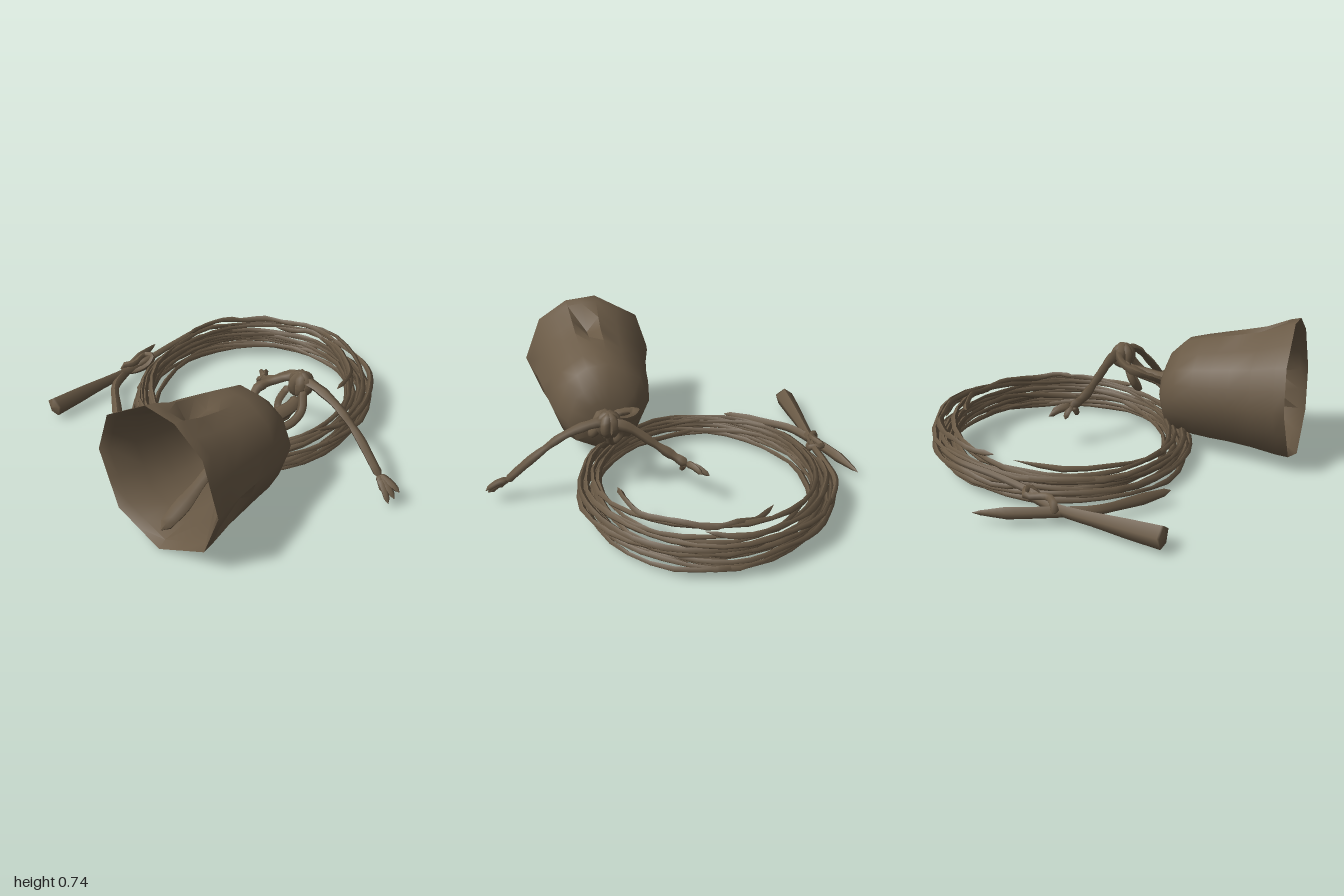
import * as THREE from 'three';
import { toCreasedNormals } from 'three/addons/utils/BufferGeometryUtils.js';

const brown = new THREE.MeshStandardMaterial({ color: 0x6a5a46, side: THREE.DoubleSide });
brown.name = 'weathered brown';

// Small seeded generator, returns -1..1
let seed = 11;
function rnd() {
  seed = (seed * 16807) % 2147483647;
  return (seed / 2147483647) * 2 - 1;
}

// Tube through points whose radius follows a list, with optional lumps
function cord(name, pts, radii, { sides = 6, steps = 18, rough = 0, closed = false } = {}) {
  const curve = new THREE.CatmullRomCurve3(pts.map(p => new THREE.Vector3(...p)), closed, 'centripetal');
  const geo = new THREE.TubeGeometry(curve, steps, 1, sides, closed);
  const pos = geo.attributes.position, v = new THREE.Vector3();
  for (let i = 0; i <= steps; i++) {
    const c = curve.getPointAt(i / steps);
    const f = (i / steps) * (radii.length - 1), k = Math.min(Math.floor(f), radii.length - 2);
    const end = !closed && (i === 0 || i === steps);
    const r = end ? 0.0005 : THREE.MathUtils.lerp(radii[k], radii[k + 1], f - k) * (1 + rough * rnd());
    for (let j = 0; j <= sides; j++) {
      const n = i * (sides + 1) + j;
      v.fromBufferAttribute(pos, n).sub(c).multiplyScalar(r).add(c);
      pos.setXYZ(n, v.x, v.y, v.z);
    }
  }
  geo.computeVertexNormals();
  const mesh = new THREE.Mesh(geo, brown);
  mesh.name = name;
  return mesh;
}

// Bell sections from crown to mouth: z, centre x, centre y, radius
const SECTIONS = [
  [0.175, 0.31, 0.29, 0.0], [0.185, 0.30, 0.29, 0.13], [0.22, 0.30, 0.30, 0.205], [0.30, 0.29, 0.325, 0.262],
  [0.40, 0.29, 0.33, 0.285], [0.50, 0.285, 0.34, 0.3], [0.60, 0.285, 0.35, 0.313], [0.72, 0.28, 0.36, 0.332],
  [0.85, 0.275, 0.377, 0.366], [0.91, 0.275, 0.382, 0.375]];
const CORNERS = [0, 42, 72, 99, 145, 180, 228, 273, 323];
// Dents: section, ring point, depth
const DENTS = [[6, 5, 0.035], [7, 5, 0.085], [7, 17, 0.08]];

// One skin of the bell, thinned inward by thickness everywhere but the lip
function bellSkin(name, thickness) {
  const ring = [];
  const onCircle = d => new THREE.Vector2(Math.cos(d * Math.PI / 180), Math.sin(d * Math.PI / 180));
  CORNERS.forEach((a, i) => {
    const c = onCircle(a), next = onCircle(CORNERS[(i + 1) % CORNERS.length]);
    ring.push(c, c.clone().add(next).multiplyScalar(0.5));
  });
  const n = ring.length, verts = [], index = [];
  const tri = (a, b, c) => (thickness ? index.push(a, c, b) : index.push(a, b, c));
  SECTIONS.forEach(([z, cx, cy, r], s) => {
    const inset = s === SECTIONS.length - 1 ? 0 : thickness;
    ring.forEach((p, j) => {
      const dent = DENTS.find(d => d[0] === s && d[1] === j);
      const rr = Math.max(0, r - inset - (dent ? dent[2] : 0));
      const y = cy + p.y * rr;
      const slant = Math.max(0, (z - 0.6) / 0.31) * (0.37 - y) * 0.065;
      verts.push(cx + p.x * rr, y, z + slant + inset);
      if (s === 0) return;
      const a = (s - 1) * n + j, b = (s - 1) * n + (j + 1) % n;
      if (s > 1) tri(a, b, a + n);
      tri(b, b + n, a + n);
    });
  });
  const geo = new THREE.BufferGeometry();
  geo.setAttribute('position', new THREE.Float32BufferAttribute(verts, 3));
  geo.setIndex(index);
  const mesh = new THREE.Mesh(toCreasedNormals(geo, 0.87), brown);
  mesh.name = name;
  return mesh;
}

// Frayed strands spreading from a cord end
function fray(group, name, base, tips) {
  tips.forEach(t => {
    const mid = base.map((b, i) => (b + t[i]) / 2 + (i === 1 ? 0.012 : 0));
    group.add(cord(name, [base, mid, t], [0.02, 0.018, 0.013], { sides: 5, steps: 6 }));
  });
}

export function createModel() {
  seed = 11;
  const model = new THREE.Group();
  model.name = 'bellWithRope';

  // Bell lying on its side
  const bell = new THREE.Group();
  bell.name = 'bell';
  bell.add(bellSkin('bellOutside', 0), bellSkin('bellInside', 0.022));
  bell.add(cord('clapper', [[0.29, 0.34, 0.24], [0.285, 0.27, 0.5], [0.275, 0.15, 0.72], [0.26, 0.09, 0.82], [0.255, 0.06, 0.88]],
    [0.05, 0.042, 0.03, 0.03, 0.046, 0.03], { sides: 6 }));
  model.add(bell);

  // Lashing and knot behind the crown
  const knot = new THREE.Group();
  knot.name = 'knot';
  knot.add(cord('neck', [[0.31, 0.31, 0.22], [0.32, 0.33, 0.12], [0.34, 0.345, 0], [0.33, 0.36, -0.06]], [0.08, 0.04, 0.036, 0.03], { sides: 7 }));
  knot.add(cord('sideLoop', [[0.29, 0.31, 0.19], [0.2, 0.37, 0.14], [0.16, 0.405, 0.06], [0.19, 0.42, -0.02], [0.27, 0.45, -0.09], [0.34, 0.47, -0.1]],
    [0.025, 0.018, 0.026, 0.018, 0.026], { sides: 5, rough: 0.15 }));
  knot.add(cord('otherLoop', [[0.31, 0.30, 0.19], [0.39, 0.3, 0.1], [0.4, 0.34, 0.0], [0.36, 0.43, -0.06]], [0.025, 0.022, 0.024]));
  knot.add(cord('hangingLoop', [[0.28, 0.42, -0.05], [0.25, 0.32, 0.0], [0.3, 0.26, 0.02], [0.33, 0.36, -0.05]], [0.02, 0.022, 0.02]));
  for (let i = 0; i < 3; i++) {
    const a = i * 1.05, ring = [];
    for (let k = 0; k < 8; k++) {
      const t = k * Math.PI / 4, c = Math.cos(t) * 0.045, s = Math.sin(t) * 0.05;
      ring.push([0.33 + c * Math.cos(a), 0.435 + s, -0.085 + c * Math.sin(a)]);
    }
    knot.add(cord('knotWrap', ring, [0.026, 0.028, 0.026], { steps: 20, closed: true }));
  }
  model.add(knot);

  // Two loose cord arms with frayed ends
  const arms = new THREE.Group();
  arms.name = 'looseCords';
  arms.add(cord('leftCord', [[0.32, 0.46, -0.09], [0.42, 0.45, -0.09], [0.56, 0.4, -0.08], [0.7, 0.3, -0.065], [0.82, 0.19, -0.04], [0.88, 0.13, -0.03]],
    [0.03, 0.028, 0.022, 0.02, 0.026, 0.024], { sides: 5, rough: 0.15 }));
  fray(arms, 'leftFray', [0.86, 0.15, -0.03], [[0.985, 0.1, -0.035], [0.975, 0.07, -0.01], [0.96, 0.05, 0.02], [0.91, 0.085, 0.0]]);
  arms.add(cord('rightCord', [[0.35, 0.46, -0.1], [0.24, 0.43, -0.13], [0.13, 0.35, -0.165], [0.02, 0.27, -0.205], [-0.05, 0.23, -0.255]],
    [0.03, 0.028, 0.022, 0.025, 0.026], { sides: 5, rough: 0.15 }));
  fray(arms, 'rightFray', [-0.04, 0.235, -0.245], [[-0.14, 0.2, -0.34], [-0.1, 0.215, -0.34], [-0.1, 0.18, -0.26], [-0.02, 0.18, -0.22]]);
  model.add(arms);

  // Coil of rope, one long tangled spiral rising towards the back
  const TURNS = 13, PER = 15, path = [];
  for (let i = 0; i <= TURNS * PER; i++) {
    const turn = i / PER, a = Math.PI + turn * Math.PI * 2;
    const r = 0.602 + 0.045 * Math.sin(turn * 2.4) + 0.014 * Math.sin(turn * 9.1) + 0.016 * rnd();
    const back = 0.5 - 0.5 * Math.sin(a);
    const y = 0.045 + (turn / TURNS) * (0.105 + 0.085 * back) + 0.016 * Math.sin(turn * 7.3) + 0.014 * rnd();
    path.push([-0.135 + r * Math.cos(a), Math.max(0.046, y), -0.25 + r * 1.03 * Math.sin(a)]);
  }
  model.add(cord('ropeCoil', path, [0.0145, 0.0145], { sides: 4, steps: TURNS * 32, rough: 0.3 }));

  // Stray strands of the coil: start angle, end angle, radius, height
  const strays = [[2.9, 5.3, 0.67, 0.12], [4.4, 6.6, 0.675, 0.2], [0.9, 3.0, 0.65, 0.08], [3.3, 5.0, 0.64, 0.24], [4.3, 6.0, 0.56, 0.25]];
  strays.forEach(([a0, a1, r, y]) => {
    const pts = [];
    for (let k = 0; k <= 8; k++) {
      const a = a0 + (a1 - a0) * k / 8, rr = r - 0.05 * Math.pow(Math.abs(k - 4) / 4, 3) + 0.01 * rnd();
      pts.push([-0.135 + rr * Math.cos(a), y + 0.015 * rnd(), -0.25 + rr * 1.02 * Math.sin(a)]);
    }
    model.add(cord('strayStrand', pts, [0.014, 0.018, 0.014], { sides: 4, steps: 20, rough: 0.2 }));
  });

  // Crossed pegs tied to the free end of the rope
  const pegs = new THREE.Group();
  pegs.name = 'pegs';
  pegs.add(cord('tieRope', [[-0.64, 0.17, -0.7], [-0.76, 0.18, -0.52], [-0.795, 0.16, -0.3], [-0.82, 0.13, -0.12], [-0.85, 0.1, 0.0]], [0.016, 0.018, 0.02]));
  pegs.add(cord('thickPeg', [[-0.912, 0.08, 0.58], [-0.89, 0.085, 0.3], [-0.865, 0.09, 0.05], [-0.835, 0.12, -0.12]],
    [0.056, 0.047, 0.034, 0.026, 0.022], { sides: 5, steps: 60 }));
  pegs.add(cord('thinPeg', [[-0.998, 0.065, -0.32], [-0.94, 0.075, -0.12], [-0.87, 0.08, 0.06], [-0.8, 0.08, 0.2], [-0.65, 0.075, 0.33], [-0.48, 0.075, 0.465]],
    [0.006, 0.03, 0.028, 0.026, 0.024, 0.03, 0.016], { sides: 5, steps: 24 }));
  pegs.add(cord('pegTie', [[-0.87, 0.13, -0.11], [-0.81, 0.14, -0.12], [-0.81, 0.1, -0.07], [-0.87, 0.08, 0.03], [-0.9, 0.11, 0.05], [-0.85, 0.13, 0.0]],
    [0.018, 0.02, 0.018], { closed: true, steps: 20 }));
  model.add(pegs);

  return model;
}
